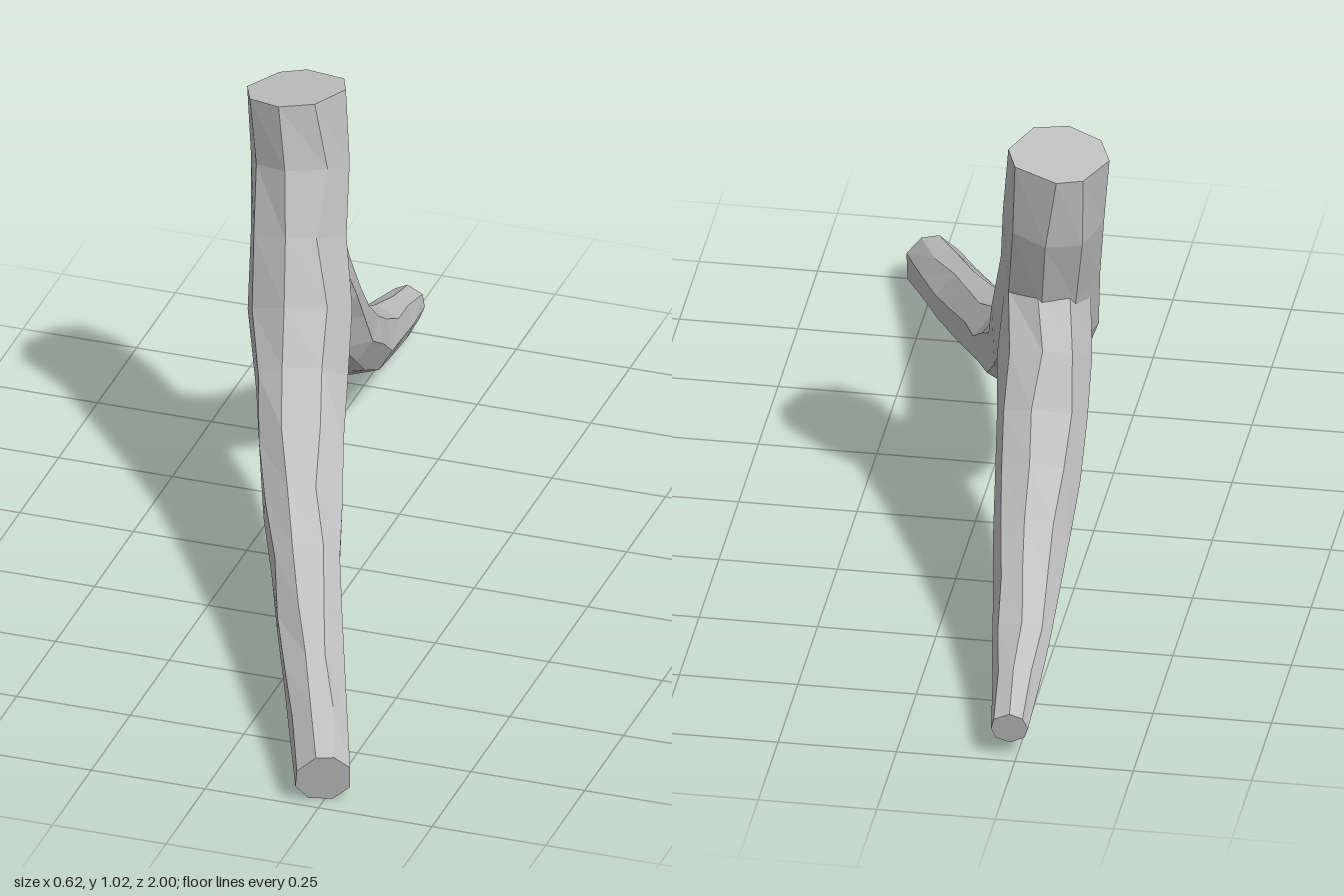
import * as THREE from 'three';

const SIDES = 8;

// Small seeded generator for the hand-cut irregularity of the bark
function seeded(seed) {
  return () => {
    seed = (seed * 16807) % 2147483647;
    return seed / 2147483647;
  };
}

// Faceted limb swept through stations [x, y, z, radius], capped at both ends
function limbGeometry(stations, steps, seed) {
  const rand = seeded(seed);
  const curve = new THREE.CatmullRomCurve3(stations.map(s => new THREE.Vector3(s[0], s[1], s[2])));
  const radii = new THREE.CatmullRomCurve3(stations.map(s => new THREE.Vector3(s[3], 0, 0)));
  const lengths = curve.getLengths(400);
  const { normals, binormals } = curve.computeFrenetFrames(steps, false);
  const positions = [], index = [];
  for (let i = 0; i <= steps; i++) {
    const u = i / steps;
    const centre = curve.getPointAt(u);
    const target = u * lengths[400];
    const t = Math.max(0, lengths.findIndex(l => l >= target - 1e-6)) / 400;
    const radius = radii.getPoint(t).x * 1.02;
    for (let j = 0; j < SIDES; j++) {
      const a = ((j + (rand() - 0.5) * 0.3) / SIDES) * Math.PI * 2;
      const r = radius * (1 + (rand() - 0.5) * 0.06);
      const p = centre.clone()
        .addScaledVector(normals[i], Math.cos(a) * r)
        .addScaledVector(binormals[i], Math.sin(a) * r);
      positions.push(p.x, p.y, p.z);
    }
  }
  for (let i = 0; i < steps; i++) {
    for (let j = 0; j < SIDES; j++) {
      const a = i * SIDES + j, b = i * SIDES + (j + 1) % SIDES;
      const c = a + SIDES, d = b + SIDES;
      index.push(a, b, c, b, d, c);
    }
  }
  // Flat cut ends
  const last = steps * SIDES;
  for (let j = 1; j < SIDES - 1; j++) {
    index.push(0, j + 1, j, last, last + j, last + j + 1);
  }
  const indexed = new THREE.BufferGeometry();
  indexed.setAttribute('position', new THREE.Float32BufferAttribute(positions, 3));
  indexed.setIndex(index);
  const faceted = indexed.toNonIndexed();
  faceted.computeVertexNormals();
  return faceted;
}

export function createModel() {
  const group = new THREE.Group();
  group.name = 'forkedBranch';
  const wood = new THREE.MeshStandardMaterial({ color: 0xc0c0c0 });
  wood.name = 'paleGrey';

  const addLimb = (name, stations, steps, seed) => {
    const mesh = new THREE.Mesh(limbGeometry(stations, steps, seed), wood);
    mesh.name = name;
    group.add(mesh);
  };

  // Upright stem sweeping down and forward
  addLimb('mainLimb', [
    [-0.21, 1.01, -0.2, 0.103],
    [-0.195, 0.86, -0.185, 0.102],
    [-0.18, 0.69, -0.13, 0.103],
    [-0.155, 0.535, -0.06, 0.103],
    [-0.12, 0.425, 0.03, 0.1],
    [-0.075, 0.34, 0.16, 0.092],
    [-0.02, 0.268, 0.31, 0.08],
    [0.11, 0.155, 0.63, 0.068],
    [0.252, 0.063, 0.973, 0.06],
  ], 11, 17);

  // Thinner fork curving down and back
  addLimb('rearFork', [
    [-0.175, 0.65, -0.145, 0.09],
    [-0.18, 0.585, -0.187, 0.1],
    [-0.19, 0.415, -0.31, 0.092],
    [-0.2, 0.28, -0.47, 0.082],
    [-0.212, 0.182, -0.635, 0.069],
    [-0.226, 0.122, -0.82, 0.053],
    [-0.237, 0.079, -0.99, 0.039],
  ], 8, 41);

  return group;
}
